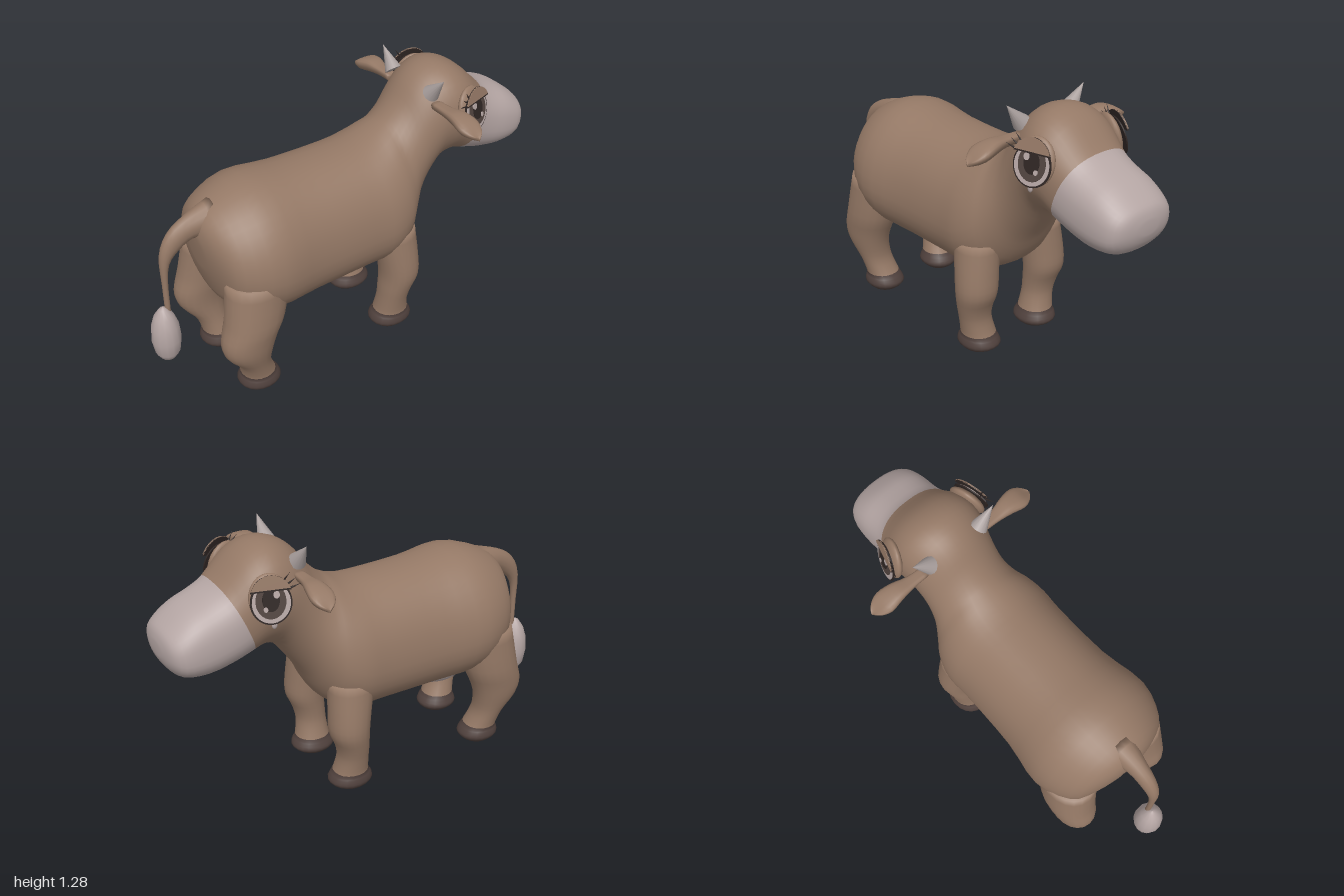
import * as THREE from 'three';
import { mergeVertices } from 'three/addons/utils/BufferGeometryUtils.js';

const mat = (name, color) => Object.assign(new THREE.MeshStandardMaterial({ color }), { name });

// Smooth closed skin through cross-sections; point(section, angle) gives a ring position.
// With split set, spans before that section form group 0 and the rest group 1.
function loft(sections, point, { sides = 28, steps = 3, split = 0 } = {}) {
  const rows = [];
  const n = sections.length;
  const at = (i) => sections[Math.max(0, Math.min(n - 1, i))];
  for (let i = 0; i < n - 1; i++) {
    for (let k = 0; k < steps; k++) {
      const t = k / steps;
      rows.push(at(i).map((b, j) => {
        const a = at(i - 1)[j], c = at(i + 1)[j], d = at(i + 2)[j];
        return b + 0.5 * t * (c - a + t * (2 * a - 5 * b + 4 * c - d + t * (3 * (b - c) + d - a)));
      }));
    }
  }
  rows.push(at(n - 1));
  const pos = [], idx = [];
  const ring = (row) => Array.from({ length: sides }, (_, j) => point(row, (j / sides) * Math.PI * 2));
  const centre = (r) => [0, 1, 2].map((k) => r.reduce((s, p) => s + p[k], 0) / sides);
  const rings = rows.map(ring);
  rings.forEach((r) => r.forEach((p) => pos.push(...p)));
  const first = rings.length * sides, last = first + 1;
  pos.push(...centre(rings[0]), ...centre(rings[rings.length - 1]));
  for (let j = 0; j < sides; j++) idx.push(first, j, (j + 1) % sides);
  let splitAt = 0;
  for (let i = 0; i < rings.length - 1; i++) {
    if (i === split * steps) splitAt = idx.length;
    for (let j = 0; j < sides; j++) {
      const a = i * sides + j, b = i * sides + (j + 1) % sides;
      idx.push(a, a + sides, b, b, a + sides, b + sides);
    }
  }
  const end = (rings.length - 1) * sides;
  for (let j = 0; j < sides; j++) idx.push(last, end + (j + 1) % sides, end + j);
  // Turn the skin outward by the sign of its volume
  const v = (i) => new THREE.Vector3().fromArray(pos, idx[i] * 3);
  let volume = 0;
  for (let i = 0; i < idx.length; i += 3) volume += v(i).dot(v(i + 1).cross(v(i + 2)));
  const geo = new THREE.BufferGeometry();
  geo.setAttribute('position', new THREE.Float32BufferAttribute(pos, 3));
  geo.setIndex(idx);
  if (volume < 0) flip(geo);
  if (split) {
    geo.addGroup(0, splitAt, 0);
    geo.addGroup(splitAt, idx.length - splitAt, 1);
  }
  geo.computeVertexNormals();
  return geo;
}

function flip(geo) {
  const a = geo.index.array;
  for (let i = 0; i < a.length; i += 3) [a[i + 1], a[i + 2]] = [a[i + 2], a[i + 1]];
}

// Section: top x, top y, bottom x, bottom y, half width, egg (wider low), squareness, centre z
function slice([xt, yt, xb, yb, w, egg = 0, p = 1, cz = 0], a) {
  const pow = (q) => Math.sign(q) * Math.abs(q) ** p;
  const c = pow(Math.cos(a)), s = pow(Math.sin(a));
  return [(xt + xb) / 2 + (xt - xb) / 2 * c, (yt + yb) / 2 + (yt - yb) / 2 * c, cz + w * s * (1 - egg * c)];
}

export function createModel() {
  const cow = new THREE.Group();
  cow.name = 'cow';
  const brown = mat('brown hide', 0x957966);
  const pale = mat('pale muzzle', 0xb5a6a4);
  const hoof = mat('dark hoof', 0x50413d);
  const horn = mat('horn', 0xaaa09e);
  const dark = mat('eye outline', 0x2e2523);
  const iris = mat('iris', 0x51443f);

  const add = (name, geo, material) => {
    const mesh = new THREE.Mesh(geo, material);
    mesh.name = name;
    cow.add(mesh);
  };
  // Adds a +z part and its mirror image
  const pair = (name, geo, material) => {
    add('left' + name, geo, material);
    const other = geo.clone().applyMatrix4(new THREE.Matrix4().makeScale(1, 1, -1));
    flip(other);
    add('right' + name, other, material);
  };

  // Body, neck, head and muzzle in one skin
  const body = [
    [-0.755, 0.82, -0.735, 0.65, 0.06, 0, 1],
    [-0.735, 0.90, -0.705, 0.54, 0.17, 0.05, 1],
    [-0.66, 0.96, -0.66, 0.45, 0.27, 0.1, 1],
    [-0.5, 1.01, -0.5, 0.39, 0.328, 0.12, 0.95],
    [-0.28, 0.99, -0.28, 0.38, 0.295, 0.12, 0.9],
    [0, 0.985, 0, 0.38, 0.288, 0.12, 0.9],
    [0.12, 1.0, 0.14, 0.385, 0.293, 0.14, 0.92],
    [0.19, 1.03, 0.24, 0.43, 0.272, 0.16, 0.95],
    [0.24, 1.06, 0.295, 0.50, 0.237, 0.14, 1],
    [0.30, 1.12, 0.34, 0.59, 0.205, 0.08, 1],
    [0.36, 1.20, 0.40, 0.68, 0.197, 0, 1],
    [0.43, 1.253, 0.47, 0.77, 0.207, -0.06, 1],
    [0.52, 1.27, 0.53, 0.80, 0.218, -0.06, 0.95],
    [0.62, 1.23, 0.57, 0.805, 0.212, -0.03, 0.9],
    [0.73, 1.125, 0.60, 0.80, 0.197, 0, 0.85],
    [0.80, 1.085, 0.70, 0.77, 0.192, 0.02, 0.82],
    [0.88, 1.05, 0.82, 0.752, 0.19, 0.03, 0.8],
    [0.95, 1.0, 0.925, 0.765, 0.174, 0.03, 0.82],
    [0.985, 0.965, 0.975, 0.81, 0.13, 0, 0.9],
    [0.997, 0.92, 0.995, 0.86, 0.05, 0, 1],
  ];
  add('bodyAndMuzzle', loft(body, slice, { sides: 40, split: 14 }), [brown, pale]);

  // Legs: height, centre x, centre z, radius along x, radius along z
  const leg = (rows) => loft(rows.map(([y, x, z, rx, rz]) => [x - rx, y, x + rx, y, rz, 0, 0.95, z]),
    slice, { sides: 20, split: 4 });
  pair('FrontLeg', leg([
    [0, 0.17, 0.175, 0.03, 0.035], [0.015, 0.17, 0.175, 0.07, 0.065],
    [0.045, 0.175, 0.175, 0.106, 0.093], [0.075, 0.175, 0.178, 0.098, 0.088],
    [0.10, 0.175, 0.18, 0.084, 0.08], [0.18, 0.172, 0.195, 0.073, 0.076],
    [0.25, 0.18, 0.203, 0.078, 0.085], [0.33, 0.197, 0.207, 0.092, 0.098],
    [0.43, 0.19, 0.2, 0.098, 0.1], [0.58, 0.17, 0.18, 0.11, 0.1],
  ]), [hoof, brown]);
  pair('HindLeg', leg([
    [0, -0.575, 0.175, 0.03, 0.035], [0.015, -0.575, 0.175, 0.07, 0.065],
    [0.045, -0.575, 0.175, 0.1, 0.093], [0.075, -0.578, 0.178, 0.092, 0.088],
    [0.10, -0.583, 0.18, 0.08, 0.08], [0.18, -0.61, 0.198, 0.076, 0.078],
    [0.27, -0.64, 0.215, 0.113, 0.088], [0.35, -0.635, 0.218, 0.132, 0.098],
    [0.45, -0.6, 0.212, 0.14, 0.112], [0.64, -0.56, 0.19, 0.15, 0.12],
  ]), [hoof, brown]);

  // Udder
  add('udder', new THREE.SphereGeometry(1, 24, 16).scale(0.17, 0.09, 0.125).rotateZ(0.08)
    .translate(-0.42, 0.4, 0), pale);

  // Tail and tuft
  add('tail', loft([
    [-0.92, 0.46, -0.895, 0.46, 0.013], [-0.92, 0.62, -0.893, 0.62, 0.015],
    [-0.917, 0.77, -0.878, 0.72, 0.025], [-0.87, 0.868, -0.83, 0.775, 0.035],
    [-0.78, 0.925, -0.765, 0.81, 0.045], [-0.66, 0.965, -0.69, 0.80, 0.07],
  ], slice, { sides: 14 }), brown);
  const tuft = [[0, 0.22], [0.035, 0.225], [0.056, 0.26], [0.067, 0.33], [0.062, 0.4], [0.045, 0.455], [0.018, 0.495], [0, 0.505]];
  add('tailTuft', new THREE.LatheGeometry(tuft.map(([r, y]) => new THREE.Vector2(r, y)), 14)
    .translate(-0.93, 0, 0), pale);

  // Ears: centre x, y, z, radius along x, radius along y
  pair('Ear', loft([
    [0.41, 1.13, 0.16, 0.025, 0.022], [0.412, 1.13, 0.24, 0.03, 0.024],
    [0.418, 1.128, 0.31, 0.045, 0.034], [0.42, 1.113, 0.375, 0.055, 0.033],
    [0.423, 1.097, 0.42, 0.036, 0.016], [0.425, 1.087, 0.445, 0.005, 0.004],
  ], ([x, y, z, rx, ry], a) => [x + rx * Math.cos(a), y + ry * Math.sin(a) + 0.012 * Math.cos(a) ** 2, z],
  { sides: 16 }), brown);

  // Horns
  pair('Horn', new THREE.ConeGeometry(0.04, 0.125, 14).rotateX(0.72).translate(0.4, 1.233, 0.178), horn);

  // Eyes: thin plates stacked on a tilted disc
  const tilt = new THREE.Matrix4().makeRotationFromEuler(new THREE.Euler(-0.2, 0.28, 0, 'YXZ'))
    .setPosition(0.577, 1.095, 0.228);
  const eyePart = (name, geo, material) => pair(name, mergeVertices(geo).applyMatrix4(tilt), material);
  const oval = (name, x, y, z, rx, ry, material) => eyePart(name,
    new THREE.CylinderGeometry(1, 1, 0.006, 28).rotateX(Math.PI / 2).scale(rx, ry, 1).translate(x, y, z), material);
  const dome = new THREE.SphereGeometry(1, 24, 12).scale(0.088, 0.105, 0.03).translate(0, 0, -0.016);
  eyePart('EyeSocket', dome, brown);
  oval('EyeOutline', 0, -0.012, 0.013, 0.087, 0.092, dark);
  oval('EyeWhite', 0, -0.012, 0.016, 0.08, 0.085, pale);
  oval('Iris', 0.002, -0.005, 0.019, 0.063, 0.074, iris);
  oval('Pupil', 0.002, 0.0, 0.022, 0.036, 0.048, dark);
  oval('BigGlint', -0.022, 0.022, 0.025, 0.013, 0.016, pale);
  oval('SmallGlint', 0.026, -0.036, 0.025, 0.009, 0.011, pale);

  // Upper lids with a dark lower edge
  const lid = (name, cut, z, material) => {
    const shape = new THREE.Shape();
    const start = Math.asin(cut / 0.103);
    shape.absellipse(0, 0, 0.09, 0.103, start, Math.PI - start, false);
    eyePart(name, new THREE.ExtrudeGeometry(shape, { depth: 0.007, bevelEnabled: false, curveSegments: 20 })
      .translate(0, 0, z), material);
  };
  lid('LidEdge', 0.037, 0.022, dark);
  lid('EyeLid', 0.044, 0.024, brown);

  // Lashes at the rear corner
  for (let i = 0; i < 3; i++) {
    eyePart('Lash' + (i + 1), new THREE.ConeGeometry(0.005, 0.05, 6).translate(0, 0.025, 0)
      .rotateZ(1.25 - i * 0.3).rotateX(0.25).translate(-0.08 + i * 0.014, 0.042 + i * 0.014, 0.02), dark);
  }

  // Tear drops below the eyes
  pair('Tear', new THREE.SphereGeometry(1, 12, 8).scale(0.013, 0.018, 0.008).translate(0.568, 0.98, 0.238), pale);
  return cow;
}
